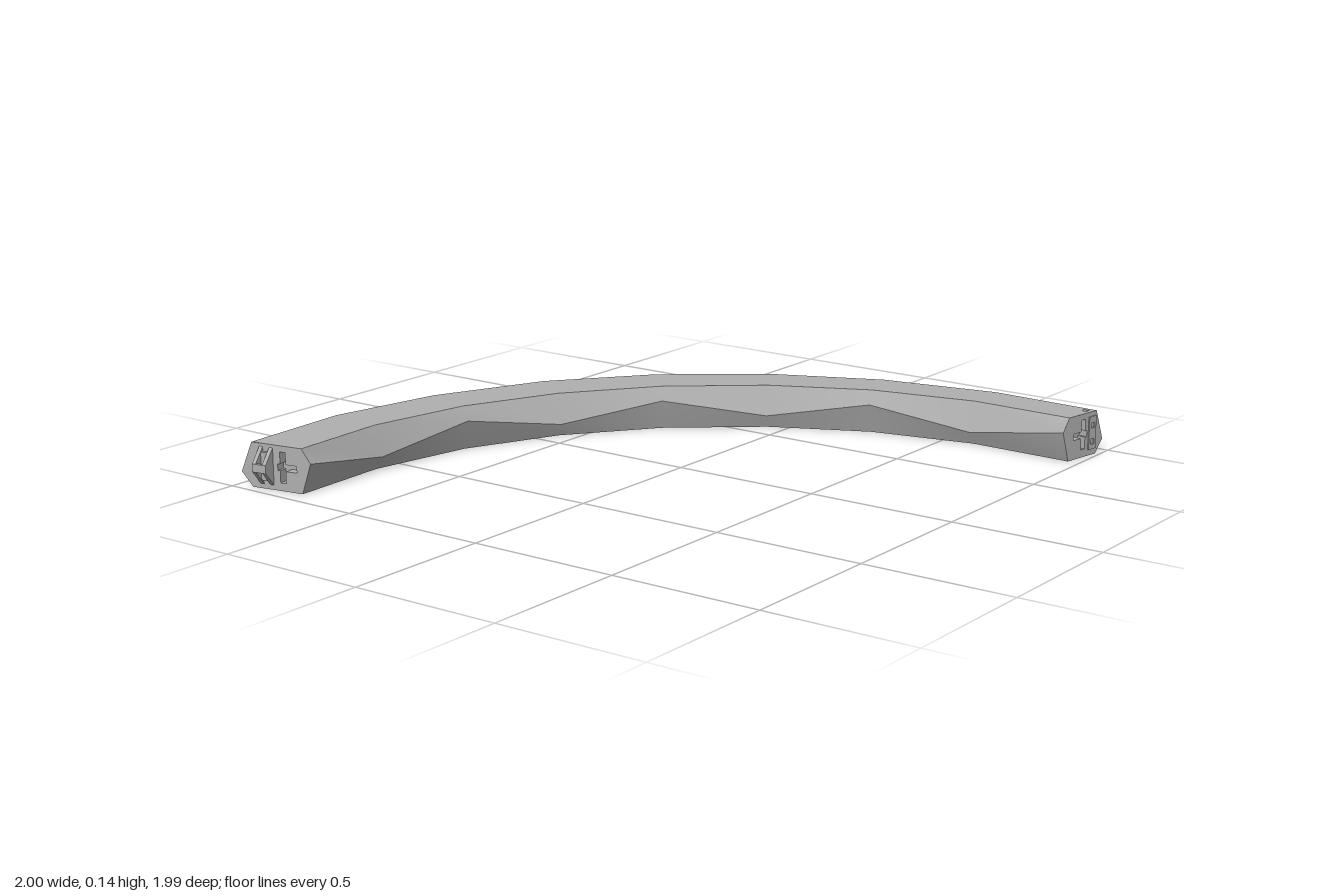
import * as THREE from 'three';

const H = 0.145;
// One row per station: outer ridge, outer rim, inner rim, inner ridge (x, z)
const STATIONS = [
  [[-0.975, -0.98], [-0.967, -0.94], [-0.936, -0.757], [-0.93, -0.725]],
  [[-0.57, -1.0], [-0.575, -0.957], [-0.59, -0.772], [-0.59, -0.742]],
  [[-0.18, -0.92], [-0.19, -0.88], [-0.24, -0.707], [-0.25, -0.68]],
  [[0.20, -0.745], [0.18, -0.712], [0.077, -0.565], [0.06, -0.54]],
  [[0.51, -0.492], [0.483, -0.465], [0.36, -0.347], [0.34, -0.33]],
  [[0.755, -0.185], [0.72, -0.158], [0.585, -0.067], [0.56, -0.055]],
  [[0.92, 0.19], [0.883, 0.205], [0.737, 0.25], [0.71, 0.26]],
  [[1.0, 0.6], [0.957, 0.6], [0.81, 0.605], [0.78, 0.605]],
  [[0.975, 0.99], [0.94, 0.984], [0.80, 0.96], [0.77, 0.955]],
];

export function createModel() {
  const group = new THREE.Group();
  const grey = new THREE.MeshStandardMaterial({ color: 0xb0b0b0, side: THREE.DoubleSide });
  grey.name = 'plain grey';
  const add = (name, geo, parent = group) => {
    const mesh = new THREE.Mesh(geo, grey);
    mesh.name = name;
    parent.add(mesh);
    return mesh;
  };

  // Six-sided section; the side ridges alternate between low and high
  const ring = ([o, ot, it, i], s) => {
    const even = s % 2 === 0;
    return [
      [o[0], even ? 0.045 : 0.1, o[1]], [ot[0], H, ot[1]], [it[0], H, it[1]],
      [i[0], even ? 0.1 : 0.045, i[1]], [it[0], 0, it[1]], [ot[0], 0, ot[1]],
    ];
  };
  const rings = STATIONS.map(ring);

  // Each long face is its own strip: smooth lengthwise, sharp at its edges
  const names = ['outerUpperFace', 'topFace', 'innerUpperFace', 'innerLowerFace', 'bottomFace', 'outerLowerFace'];
  names.forEach((name, k) => {
    const flat = k === 1 || k === 4;
    const used = flat ? rings.slice(0, -1) : rings;
    const pos = [], idx = [];
    used.forEach((r, s) => {
      pos.push(...r[k], ...r[(k + 1) % 6]);
      if (s < used.length - 1) {
        const a = s * 2;
        idx.push(a, a + 1, a + 3, a, a + 3, a + 2);
      }
    });
    const geo = new THREE.BufferGeometry();
    geo.setAttribute('position', new THREE.Float32BufferAttribute(pos, 3));
    geo.setIndex(idx);
    geo.computeVertexNormals();
    add(name, geo);
  });

  const poly = (pts, Type = THREE.Shape) => new Type(pts.map(p => new THREE.Vector2(p[0], p[1])));
  const rect = (x0, y0, x1, y1) => [[x0, y0], [x1, y0], [x1, y1], [x0, y1]];
  const hole = pts => poly(pts, THREE.Path);

  // Last top and bottom panels, pierced by a square pin shaft
  const px = 0.917, pz = 0.955, pr = 0.009;
  const [a, b] = STATIONS.slice(-2);
  for (const y of [0, H]) {
    const shape = poly([a[1], a[2], b[2], b[1]]);
    shape.holes.push(hole(rect(px - pr, pz - pr, px + pr, pz + pr)));
    const geo = new THREE.ShapeGeometry(shape);
    // Keep the winding facing outward on each side
    if (y === 0) geo.rotateX(Math.PI / 2);
    else geo.scale(1, -1, 1).rotateX(-Math.PI / 2);
    if (y) {
      const ix = geo.index.array;
      for (let i = 0; i < ix.length; i += 3) [ix[i], ix[i + 1]] = [ix[i + 1], ix[i]];
      geo.computeVertexNormals();
    }
    add(y ? 'topPinPanel' : 'bottomPinPanel', geo).position.y = y;
  }
  const shaft = new THREE.CylinderGeometry(pr * Math.SQRT2, pr * Math.SQRT2, H, 4, 1, true);
  add('pinShaft', shaft.rotateY(Math.PI / 4)).position.set(px, H / 2, pz);

  // End cap with a cross-shaped socket; local x runs across, local z points out
  const makeEnd = (name, r, from, to, cx, dir) => {
    const end = new THREE.Group();
    end.name = name;
    const A = r[from], B = r[to];
    const dx = B[0] - A[0], dz = B[2] - A[2], len = Math.hypot(dx, dz);
    end.position.set(A[0], 0, A[2]);
    end.rotation.y = -Math.atan2(dz, dx);
    const across = p => ((p[0] - A[0]) * dx + (p[2] - A[2]) * dz) / len;
    const w = 0.011, m = 0.075, X = d => cx + dir * d;
    const cross = [
      [X(-w), 0.025], [X(w), 0.025], [X(w), m - w], [X(0.052), m - w], [X(0.052), m + w],
      [X(w), m + w], [X(w), 0.125], [X(-w), 0.125], [X(-w), m + w], [X(-0.02), m + w],
      [X(-0.02), m - w], [X(-w), m - w],
    ];
    const cap = poly(r.map(p => [across(p), p[1]]));
    cap.holes.push(hole(cross));
    add('endCap', new THREE.ShapeGeometry(cap), end);
    const box = rect(Math.min(X(-0.024), X(0.058)), 0.02, Math.max(X(-0.024), X(0.058)), 0.13);
    const liner = poly(box);
    liner.holes.push(hole(cross));
    const linerGeo = new THREE.ExtrudeGeometry(liner, { depth: 0.03, bevelEnabled: false });
    add('socketWalls', linerGeo, end).position.z = -0.032;
    add('socketFloor', new THREE.ShapeGeometry(poly(box)), end).position.z = -0.032;
    group.add(end);
    return end;
  };

  // Front end: socket beside a thin plate with two square openings
  const front = makeEnd('frontEnd', rings[8], 3, 0, 0.107, -1);
  const plate = poly(rect(0.132, 0.02, 0.168, 0.13));
  for (const y of [0.045, 0.1]) plate.holes.push(hole(rect(0.142, y - 0.009, 0.16, y + 0.009)));
  add('latchPlate', new THREE.ExtrudeGeometry(plate, { depth: 0.004, bevelEnabled: false }), front);

  // Back end: socket and a tapered tab with an upright pin hole
  const back = makeEnd('backEnd', rings[0], 0, 3, 0.155, 1);
  const side = poly([[0, 0.015], [0.042, 0.063], [0.042, 0.087], [0, 0.135]]);
  for (const u of [0.083, 0.12]) {
    const geo = new THREE.ExtrudeGeometry(side, { depth: 0.013, bevelEnabled: false }).rotateY(-Math.PI / 2);
    add('tabSide', geo, back).position.x = u;
  }
  add('tabTip', new THREE.BoxGeometry(0.05, 0.026, 0.012), back).position.set(0.095, 0.075, 0.036);
  add('tabRoot', new THREE.BoxGeometry(0.05, 0.09, 0.012), back).position.set(0.095, 0.075, 0.006);

  return group;
}
